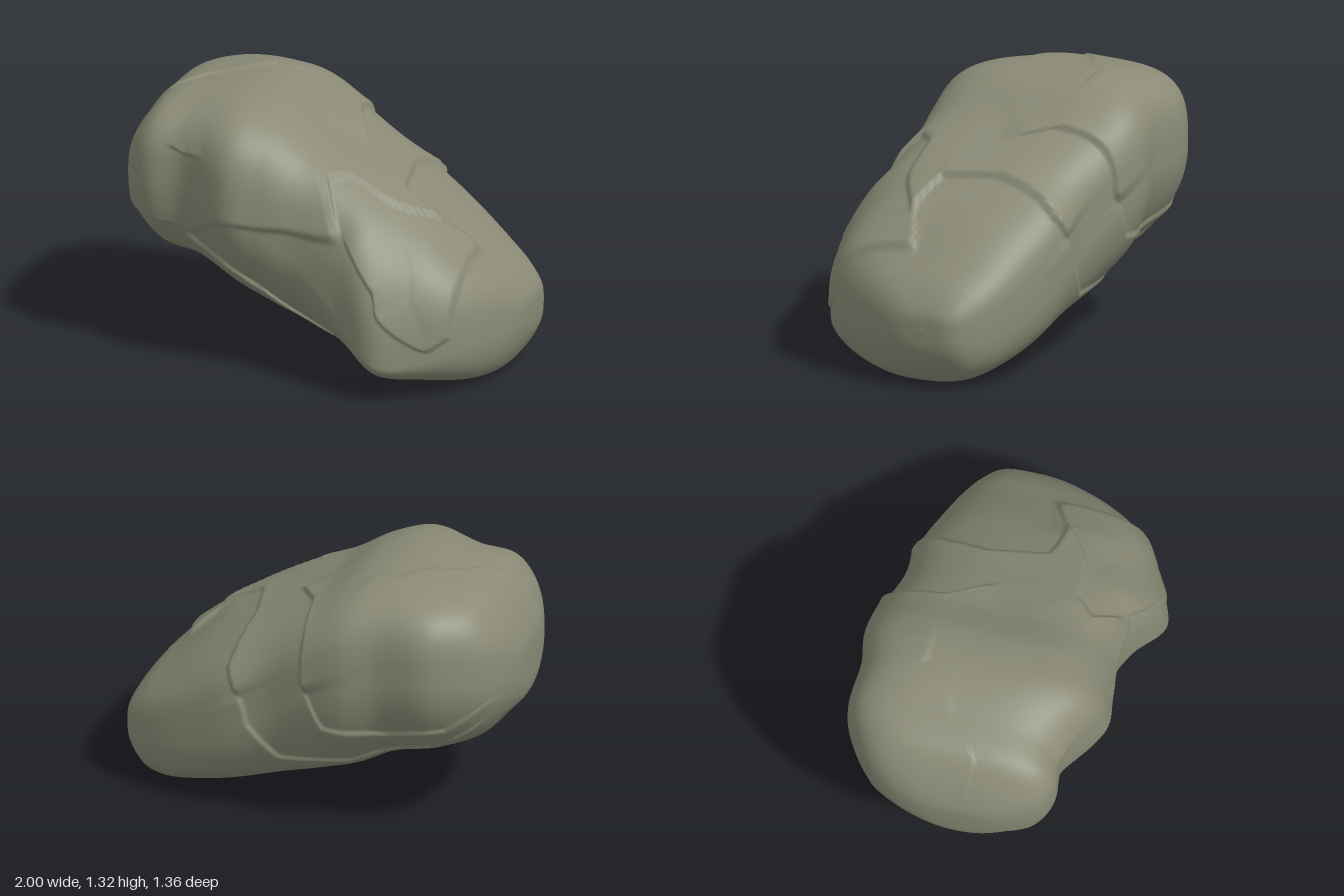
import * as THREE from 'three';

const { lerp, clamp, smoothstep } = THREE.MathUtils;

// Cross-sections along x: x, bottom, top, back z, front z, height of widest back, height of widest front
const STATIONS = [
  [-1, .84, .84, -.05, -.05, .84, .84],
  [-.985, .68, .99, -.27, .15, .86, .88],
  [-.9, .57, 1.16, -.48, .33, .88, .92],
  [-.8, .47, 1.26, -.58, .39, .9, .95],
  [-.63, .41, 1.3, -.67, .39, .92, .95],
  [-.37, .32, 1.315, -.66, .53, .9, .86],
  [-.2, .24, 1.27, -.68, .52, .84, .75],
  [0, .175, 1.14, -.63, .51, .76, .62],
  [.2, .12, 1.03, -.57, .56, .66, .42],
  [.43, .06, .89, -.55, .67, .56, .21],
  [.6, .03, .78, -.5, .6, .45, .2],
  [.8, .01, .61, -.42, .45, .36, .26],
  [.9, .05, .52, -.36, .28, .32, .28],
  [.985, .18, .4, -.27, .05, .31, .29],
  [1, .3, .3, -.12, -.12, .3, .3],
];

// Cracks as paths of [x, angle]: 0 = front, 90 = top, 180 = back, 270 = underside.
// The slab to the left of each path is lifted by h and overhangs the crack.
const CRACKS = [
  { h: .012, path: [[-.98, 82], [-.82, 80], [-.55, 97], [-.4, 115], [-.2, 113]] },
  { h: .025, path: [[.16, 98], [.1, 105], [.02, 116], [0, 140], [0, 168], [-.02, 180]] },
  { h: .025, path: [[.8, 88], [.62, 81], [.4, 87], [.35, 112], [.4, 145], [.34, 170]] },
  { h: .022, path: [[.2, 36], [.1, 51], [.18, 62], [.4, 70], [.66, 82]] },
  { h: .025, path: [[-1, -28], [-.6, -29], [-.53, -21], [-.4, -9], [.03, 19], [.24, 35]] },
  { h: .018, path: [[.22, 36], [.43, 29], [.45, 21], [.68, 6], [.76, 11], [.78, 45], [.77, 90]] },
  { h: .022, path: [[.56, -72], [.2, -65], [0, -52], [-.2, -38], [-.4, -36], [-.68, -36]] },
  { h: .016, path: [[-.95, 195], [-.7, 215], [-.4, 215], [-.1, 200], [0, 175]] },
  { h: .016, path: [[-.9, 215], [-.6, 235], [-.2, 232], [.15, 215], [.3, 190], [.35, 165]] },
  { h: .018, path: [[-.72, 24], [-.62, 20], [-.5, 23]] },
];
const UNROLL = 0.0098; // surface length per degree

// Slab step at a point of the unrolled surface: height, and overhang along x and around
function lift({ h, path }, x, deg) {
  const mid = path[path.length >> 1][1];
  const py = (((deg - mid + 180) % 360 + 360) % 360 - 180 + mid) * UNROLL;
  let best = Infinity, perp = 0, at = 0, length = 0, nx = 0, ny = 0;
  for (let i = 0; i < path.length - 1; i++) {
    const ax = path[i][0], ay = path[i][1] * UNROLL;
    const dx = path[i + 1][0] - ax, dy = path[i + 1][1] * UNROLL - ay;
    const len = Math.hypot(dx, dy), qx = x - ax, qy = py - ay;
    const t = clamp((qx * dx + qy * dy) / (len * len), 0, 1);
    const d = Math.hypot(qx - t * dx, qy - t * dy), side = (dx * qy - dy * qx) / len;
    if (d < best - 1e-6 || (d < best + 1e-6 && Math.abs(side) > Math.abs(perp))) {
      best = d; perp = side; at = length + t * len;
      nx = dy / len; ny = -dx / len;
    }
    length += len;
  }
  const step = clamp(.5 + Math.sign(perp) * best / .018, 0, 1);
  const taper = clamp(Math.min(at, length - at) / .08, 0, 1);
  const up = h * step * taper * Math.exp(-best / .14);
  return [up, up * nx * .6, up * ny * .6];
}

// Squareness of each quarter of the section at x
function squareness(x, ca, sa) {
  const low = smoothstep(x, -.2, .7);
  if (sa > 0 && ca > 0) return 3.1 - .8 * Math.exp(-(((x - .47) / .17) ** 2));
  if (sa > 0) return lerp(3.6, 3, low);
  return ca > 0 ? 2.1 : lerp(2, 3.1, low);
}

function rockGeometry(perStation = 16, around = 256) {
  // Smooth interpolation between sections, spaced by the distance between them
  const at = [0];
  for (let i = 1; i < STATIONS.length; i++) {
    const [p, q] = [STATIONS[i - 1], STATIONS[i]];
    at.push(at[i - 1] + Math.hypot(q[0] - p[0], q[2] - p[2], q[3] - p[3]));
  }
  const spline = new THREE.CubicInterpolant(at, STATIONS.flat(), 7);
  const rings = (STATIONS.length - 1) * perStation;
  const pos = [], index = [];
  for (let i = 0; i <= rings; i++) {
    const k = Math.min(Math.floor(i / perStation), STATIONS.length - 2);
    const [sx, bottom, top, back, front, yBack, yFront] =
      spline.evaluate(lerp(at[k], at[k + 1], i / perStation - k));
    const x0 = clamp(sx, -1, 1);
    const zc = (back + front) / 2, half = (front - back) / 2;
    const edge = clamp(half / .3, 0, 1);
    for (let j = 0; j < around; j++) {
      const a = j / around * Math.PI * 2;
      const ca = Math.cos(a), sa = Math.sin(a);
      const n = squareness(x0, ca, sa);
      const r = (Math.abs(ca) ** n + Math.abs(sa) ** n) ** (-1 / n);
      const c = ca * r, s = sa * r;
      const yMid = lerp(yBack, yFront, smoothstep(c, -1, 1));
      let x = x0;
      let y = yMid + s * (s > 0 ? top - yMid : yMid - bottom);
      let z = zc + half * c;
      // Raised slab edges
      for (const crack of CRACKS) {
        const [up, overX, overA] = lift(crack, x0, a * 180 / Math.PI);
        x += overX * edge;
        y += (sa * up + ca * overA) * edge;
        z += (ca * up - sa * overA) * edge;
      }
      pos.push(x, y, z);
    }
  }
  for (let i = 0; i < rings; i++) {
    for (let j = 0; j < around; j++) {
      const a = i * around + j, c = i * around + (j + 1) % around;
      const b = a + around, e = c + around;
      index.push(a, b, c, b, e, c);
    }
  }
  const geo = new THREE.BufferGeometry();
  geo.setAttribute('position', new THREE.Float32BufferAttribute(pos, 3));
  geo.setIndex(index);
  // Rest the underside on the ground
  geo.computeBoundingBox();
  geo.translate(0, -geo.boundingBox.min.y, 0);
  geo.computeVertexNormals();
  return geo;
}

export function createModel() {
  const group = new THREE.Group();
  group.name = 'boulder';
  const stone = new THREE.MeshStandardMaterial({ color: 0x8a8a76 });
  const rock = new THREE.Mesh(rockGeometry(), stone);
  rock.name = 'crackedRock';
  group.add(rock);
  return group;
}
